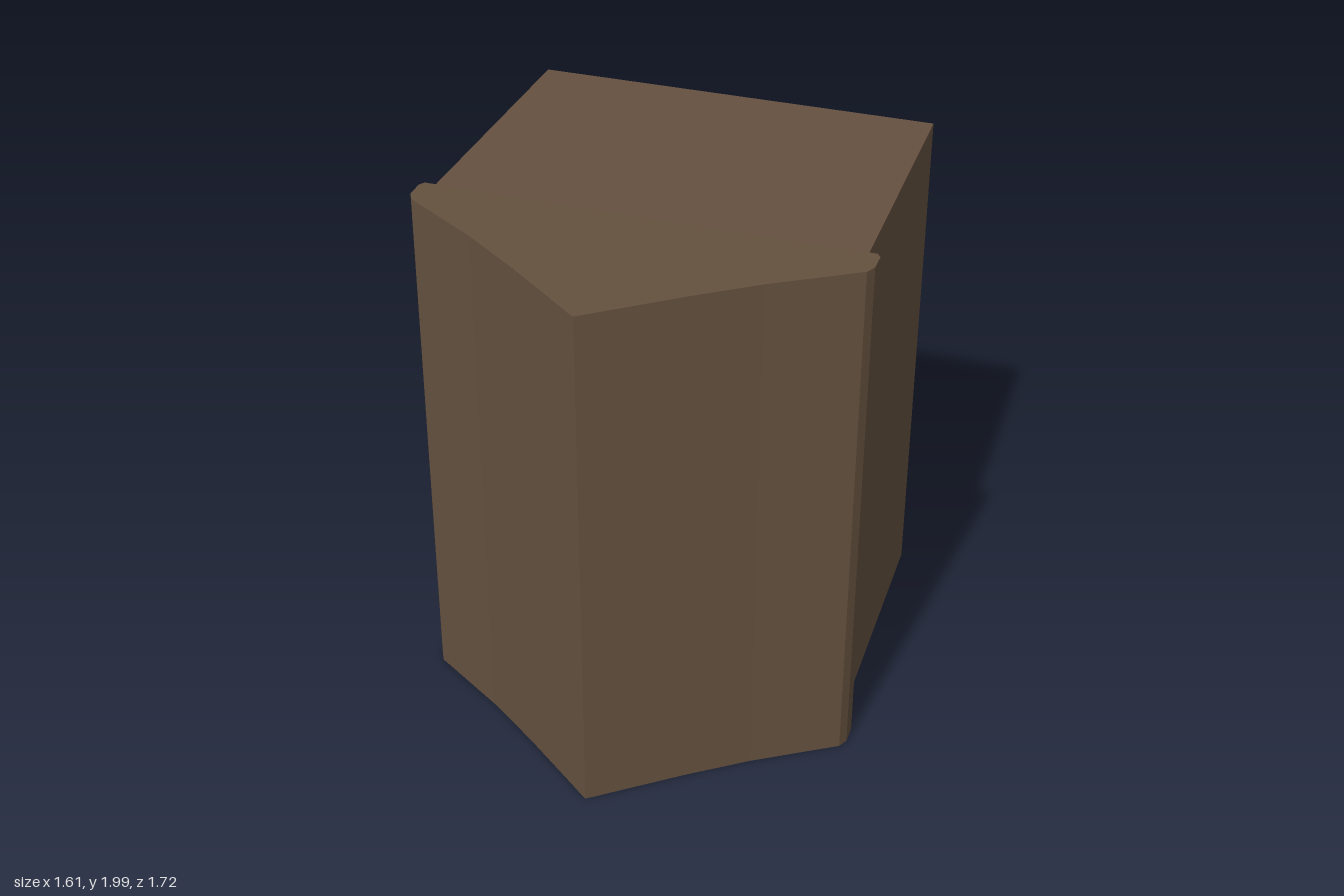
import * as THREE from 'three';

const Z_BACK = -0.86, Z_JOIN = 0.19;

export function createModel() {
  const group = new THREE.Group();
  const brown = new THREE.MeshStandardMaterial({ color: 0x65513f });
  brown.name = 'brown';

  const add = (name, geometry) => {
    const mesh = new THREE.Mesh(geometry, brown);
    mesh.name = name;
    group.add(mesh);
    return mesh;
  };

  // Pointed front: a plan outline, mirrored, raised along y
  const half = [[0.79, 0.18], [0.803, 0.2], [0.803, 0.27], [0.785, 0.305], [0.5, 0.485], [0.3, 0.63], [0.1, 0.785], [0.03, 0.84], [0, 0.862]];
  const mirrored = half.slice(0, -1).reverse().map(([x, z]) => [-x, z]);
  const outline = [...half, ...mirrored].map(([x, z]) => new THREE.Vector2(x, -z));
  const wedge = new THREE.ExtrudeGeometry(new THREE.Shape(outline), { depth: 1.985, bevelEnabled: false });
  wedge.rotateX(-Math.PI / 2).translate(0, 0.01, 0);
  add('pointedFront', wedge);

  // Hollow casing, open at the back
  const rectangle = (w, y0, y1) => [[-w, y0], [w, y0], [w, y1], [-w, y1]].map(([x, y]) => new THREE.Vector2(x, y));
  const frame = new THREE.Shape(rectangle(0.74, 0.05, 1.975));
  frame.holes.push(new THREE.Path(rectangle(0.727, 0.063, 1.962)));
  const casing = new THREE.ExtrudeGeometry(frame, { depth: Z_JOIN - Z_BACK, bevelEnabled: false });
  casing.translate(0, 0, Z_BACK);
  // The casing widens slightly towards the front
  const p = casing.attributes.position;
  for (let i = 0; i < p.count; i++) {
    const t = (p.getZ(i) - Z_BACK) / (Z_JOIN - Z_BACK);
    p.setX(i, p.getX(i) * (1 + 0.025 * t));
    p.setY(i, 1.0125 + (p.getY(i) - 1.0125) * (1 + 0.01 * t));
  }
  casing.computeVertexNormals();
  add('casing', casing);

  // Two pairs of thin tapered rods reaching back through the hollow
  const length = Z_JOIN - Z_BACK - 0.02;
  for (const [x, y] of [[0.03, 1.35], [0.1, 1.36], [0.03, 0.94], [0.1, 0.97]]) {
    const rod = new THREE.CylinderGeometry(0.035, 0.012, length, 12);
    rod.rotateX(Math.PI / 2);
    add('innerRod', rod).position.set(x, y, Z_JOIN - length / 2);
  }

  return group;
}
